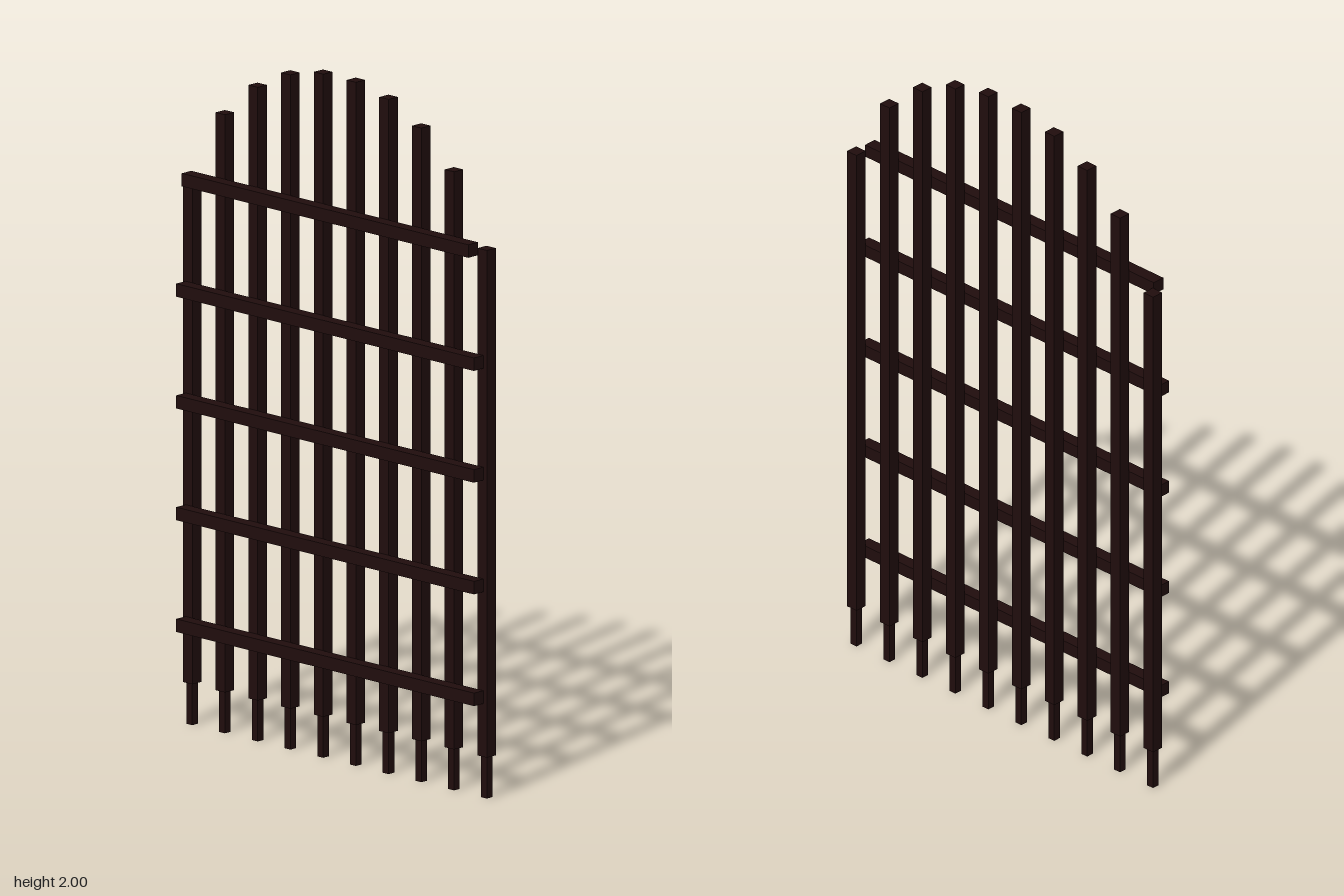
import * as THREE from 'three';

export function createModel() {
  const model = new THREE.Group();
  model.name = 'portcullis';
  const iron = new THREE.MeshStandardMaterial({ color: 0x200d0d });
  iron.name = 'dark iron';

  const box = (name, w, h, d, x, y, z, parent) => {
    const mesh = new THREE.Mesh(new THREE.BoxGeometry(w, h, d), iron);
    mesh.name = name;
    mesh.position.set(x, y, z);
    parent.add(mesh);
  };

  // Upright bars, arched along the top, each with a thin spike at the foot
  const spacing = 0.129, barWidth = 0.037, spikeWidth = 0.023, spikeHeight = 0.122;
  const tops = [2.0, 1.974, 1.914, 1.81, 1.604];
  tops.forEach((top, i) => {
    for (const side of [-1, 1]) {
      const bar = new THREE.Group();
      bar.name = `${side > 0 ? 'left' : 'right'}Bar${i + 1}`;
      bar.position.set(side * (i + 0.5) * spacing, 0, -0.02);
      const height = top - spikeHeight;
      box('upright', barWidth, height, barWidth, 0, spikeHeight + height / 2, 0, bar);
      box('spike', spikeWidth, spikeHeight, spikeWidth, 0, spikeHeight / 2, 0, bar);
      model.add(bar);
    }
  });

  // Cross rails on the front, the top one a little shorter
  for (let i = 0; i < 5; i++) {
    const width = i === 4 ? 1.13 : 1.174;
    box(`rail${i + 1}`, width, 0.038, 0.039, 0, 0.297 + i * 0.3265, 0.019, model);
  }
  return model;
}
